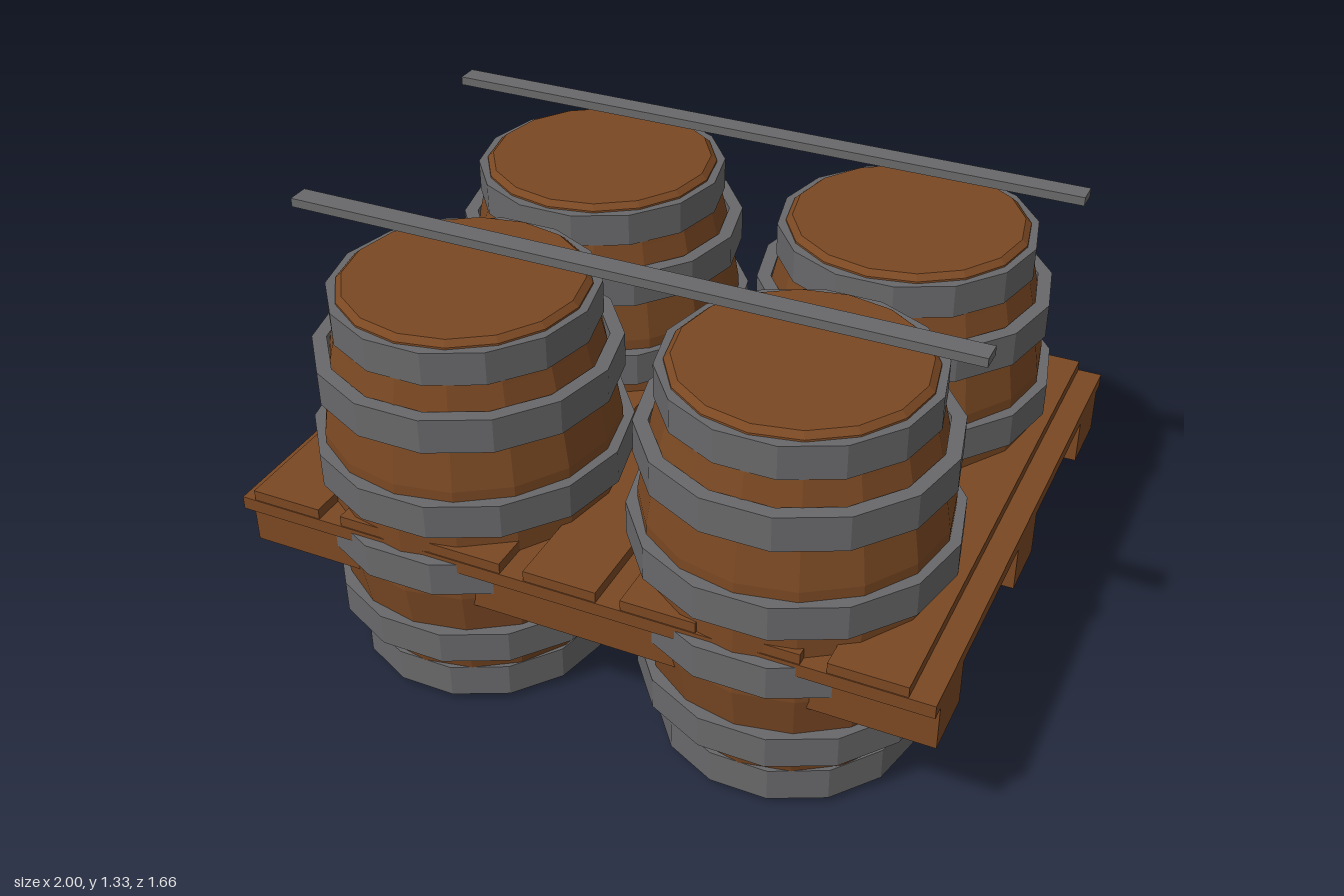
import * as THREE from 'three';

const wood = new THREE.MeshStandardMaterial({ color: 0x7a4823, flatShading: true });
wood.name = 'brown wood';
const iron = new THREE.MeshStandardMaterial({ color: 0x68686a, flatShading: true });
iron.name = 'grey iron';

// Half of the stave outline, mirrored about mid height
const MID = 0.5875;
const half = [[0, 0], [0.325, 0], [0.342, 0.015], [0.348, 0.07], [0.361, 0.13], [0.375, 0.19], [0.392, 0.29], [0.412, 0.41]];
const outline = [...half, ...half.slice().reverse().map(([r, y]) => [r, 2 * MID - y])];

// Hoops: outer radius, bottom, top
const hoops = [
  [0.367, 0.02, 0.12], [0.421, 0.19, 0.285], [0.4425, 0.445, 0.545],
  [0.4425, 0.635, 0.735], [0.421, 0.89, 0.99], [0.367, 1.06, 1.155],
];

function lathe(name, points, sides, material) {
  const pts = points.map(([r, y]) => new THREE.Vector2(r, y));
  const mesh = new THREE.Mesh(new THREE.LatheGeometry(pts, sides, Math.PI / 2), material);
  mesh.name = name;
  return mesh;
}

function box(name, x0, x1, y0, y1, z0, z1, material) {
  const mesh = new THREE.Mesh(new THREE.BoxGeometry(x1 - x0, y1 - y0, z1 - z0), material);
  mesh.position.set((x0 + x1) / 2, (y0 + y1) / 2, (z0 + z1) / 2);
  mesh.name = name;
  return mesh;
}

function createBarrel() {
  const barrel = new THREE.Group();
  barrel.name = 'barrel';
  barrel.add(lathe('barrelBody', outline, 16, wood));
  for (const [r, y0, y1] of hoops) {
    const inner = r - 0.04;
    barrel.add(lathe('hoop', [[inner, y0], [r, y0], [r, y1], [inner, y1], [inner, y0]], 14, iron));
  }
  return barrel;
}

export function createModel() {
  const model = new THREE.Group();
  model.name = 'barrelPallet';

  // Four barrels
  for (const x of [-0.483, 0.477]) {
    for (const z of [-0.402, 0.4]) {
      const barrel = createBarrel();
      barrel.position.set(x, 0, z);
      model.add(barrel);
    }
  }

  // Pallet: three bearers, a deck and seven spaced top boards
  const pallet = new THREE.Group();
  pallet.name = 'pallet';
  for (const [z0, z1] of [[-0.76, -0.57], [-0.09, 0.09], [0.575, 0.76]]) {
    pallet.add(box('bearer', -1, 1, 0.385, 0.52, z0, z1, wood));
  }
  pallet.add(box('deck', -1, 1, 0.518, 0.557, -0.8, 0.8, wood));
  for (let i = 0; i < 7; i++) {
    const x = -0.96 + i * 0.28;
    pallet.add(box('topBoard', x, x + 0.21, 0.555, 0.588, -0.797, 0.797, wood));
  }
  model.add(pallet);

  // Two bars above the barrels
  for (const z of [-0.443, 0.437]) {
    model.add(box('topBar', -0.96, 0.955, 1.305, 1.33, z - 0.031, z + 0.031, iron));
  }
  return model;
}
